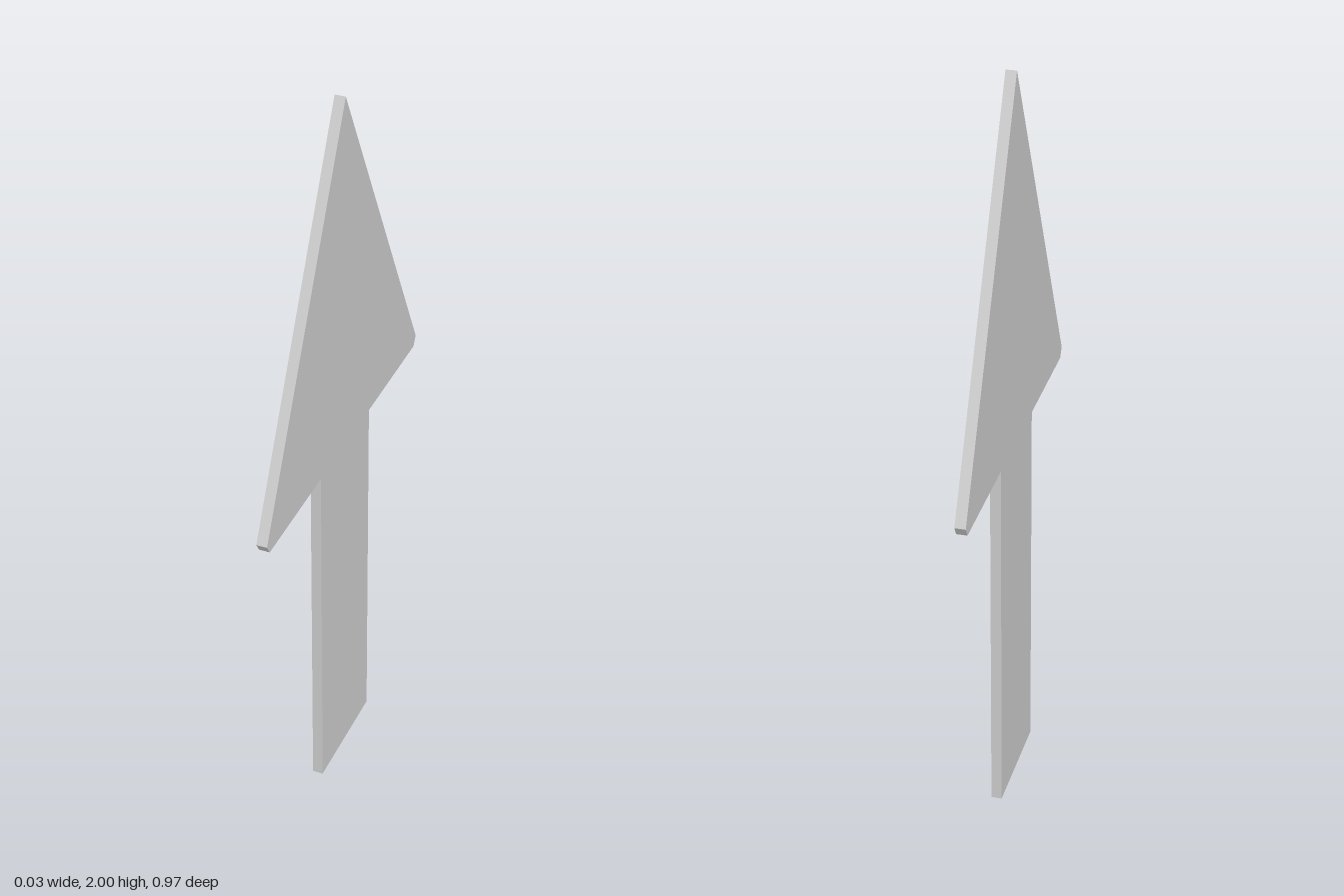
import * as THREE from 'three';

export function createModel() {
  const group = new THREE.Group();
  group.name = 'arrow';
  const thickness = 0.028;

  // Right half of the outline from the shaft foot to the tip, then mirrored
  const half = [[0.157, 0], [0.157, 1.005], [0.47, 1.005], [0.485, 1.03]];
  const outline = [
    ...half,
    [0, 2],
    ...half.map(([x, y]) => [-x, y]).reverse(),
  ].map(([x, y]) => new THREE.Vector2(x, y));

  // Flat plate, turned so its broad faces look along x
  const geometry = new THREE.ExtrudeGeometry(new THREE.Shape(outline), {
    depth: thickness,
    bevelEnabled: false,
  });
  geometry.translate(0, 0, -thickness / 2);
  geometry.rotateY(Math.PI / 2);

  const plate = new THREE.Mesh(
    geometry,
    new THREE.MeshStandardMaterial({ color: 0xcccccc, flatShading: true })
  );
  plate.name = 'arrowPlate';
  group.add(plate);
  return group;
}
